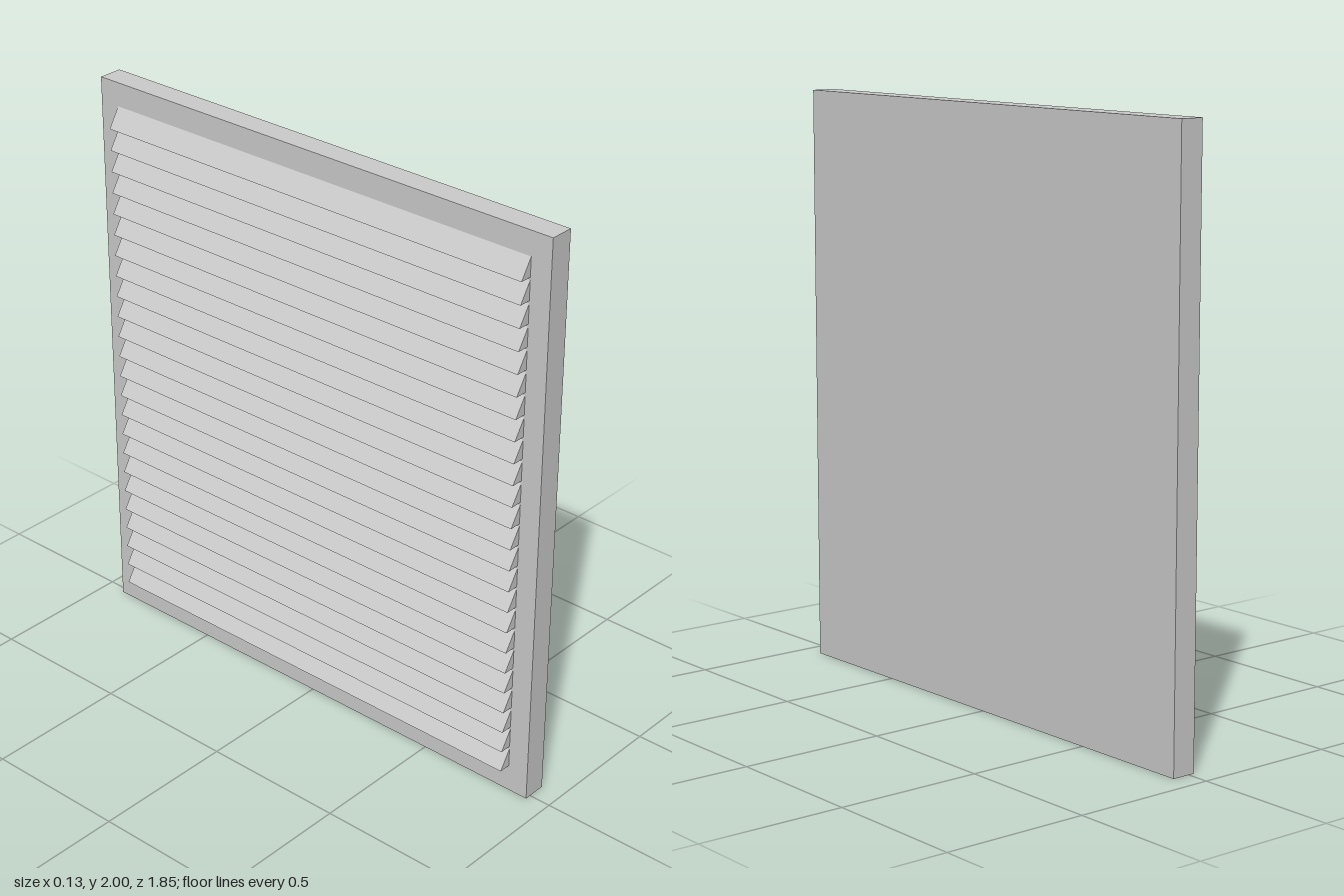
import * as THREE from 'three';

export function createModel() {
  const group = new THREE.Group();
  group.name = 'louvrePanel';
  const material = new THREE.MeshStandardMaterial({ color: 0xcccccc, flatShading: true });

  const outerX = 0.063, faceX = -0.021;
  const panelWidth = 1.846, slatWidth = 1.696;
  const slatCount = 24, firstY = 0.095, pitch = 0.0763, slatHeight = 0.067;

  // Solid backing panel
  const panel = new THREE.Mesh(new THREE.BoxGeometry(outerX - faceX, 2, panelWidth), material);
  panel.name = 'panel';
  panel.position.set((outerX + faceX) / 2, 1, 0);
  group.add(panel);

  // Wedge-shaped louvre slats, sloping outward and down
  const profile = new THREE.Shape([
    new THREE.Vector2(faceX, 0),
    new THREE.Vector2(faceX, slatHeight),
    new THREE.Vector2(-outerX, 0),
  ]);
  const slatGeometry = new THREE.ExtrudeGeometry(profile, { depth: slatWidth, bevelEnabled: false });
  slatGeometry.translate(0, 0, -slatWidth / 2);

  const slats = new THREE.Group();
  slats.name = 'slats';
  for (let i = 0; i < slatCount; i++) {
    const slat = new THREE.Mesh(slatGeometry, material);
    slat.name = `slat${i + 1}`;
    slat.position.y = firstY + i * pitch;
    slats.add(slat);
  }
  group.add(slats);

  return group;
}
